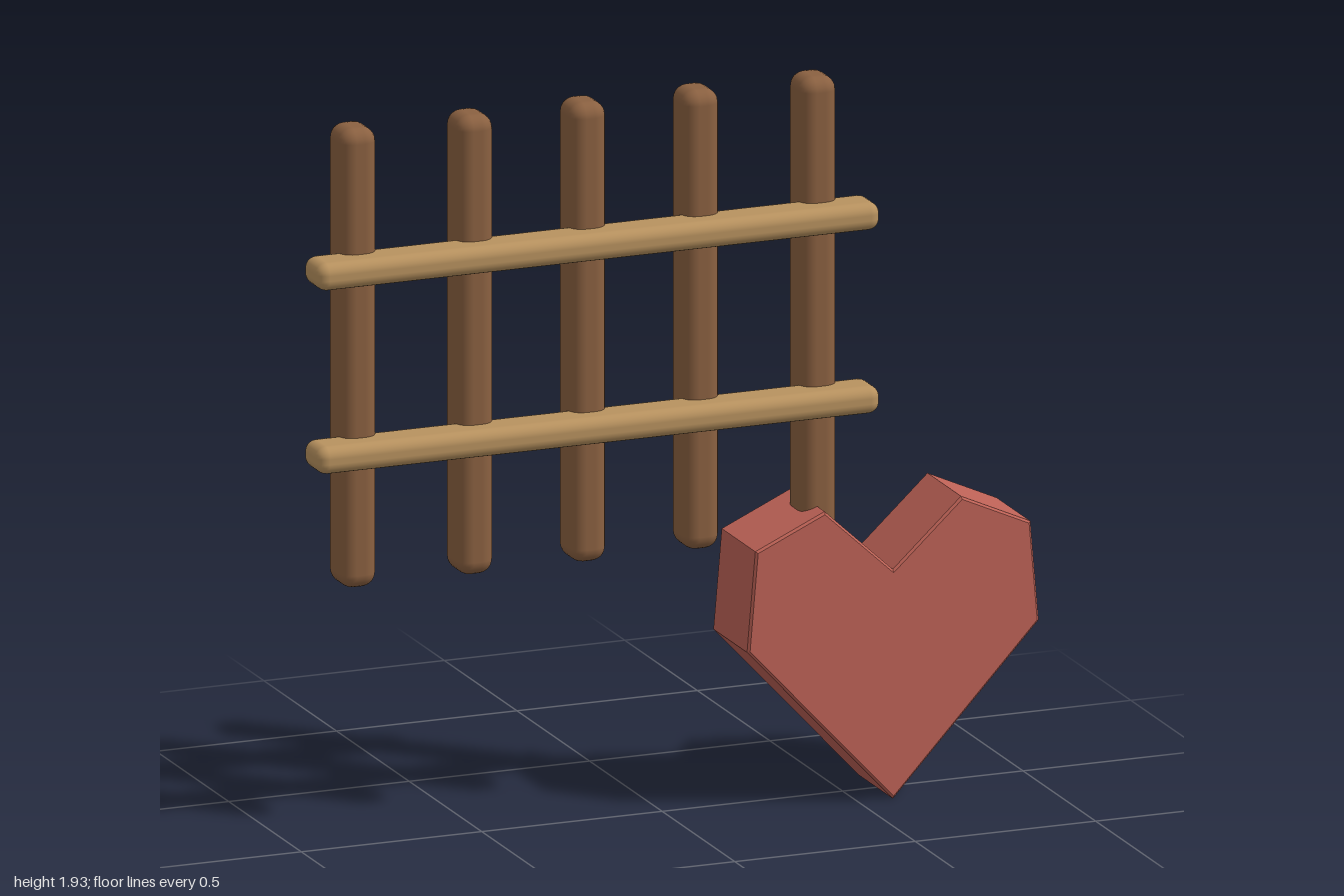
import * as THREE from 'three';
import { RoundedBoxGeometry } from 'three/addons/geometries/RoundedBoxGeometry.js';

export function createModel() {
  const model = new THREE.Group();
  model.name = 'fenceWithHeart';

  const material = (name, color) => {
    const m = new THREE.MeshStandardMaterial({ color });
    m.name = name;
    return m;
  };
  const darkWood = material('darkWood', 0x8b6141);
  const lightWood = material('lightWood', 0xb8925f);
  const red = material('heartRed', 0xbd6256);

  const add = (name, geometry, mat, x, y, z) => {
    const mesh = new THREE.Mesh(geometry, mat);
    mesh.name = name;
    mesh.position.set(x, y, z);
    model.add(mesh);
  };

  // Upright pickets with rounded ends
  const picket = new RoundedBoxGeometry(0.1, 1.23, 0.122, 3, 0.038);
  [-0.858, -0.534, -0.221, 0.092, 0.417].forEach((x, i) =>
    add(`picket${i + 1}`, picket, darkWood, x, 1.317, 0));

  // Two horizontal rails across the front
  const rail = new RoundedBoxGeometry(1.56, 0.074, 0.12, 3, 0.03);
  add('lowerRail', rail, lightWood, -0.22, 1.072, 0.064);
  add('upperRail', rail, lightWood, -0.22, 1.563, 0.064);

  // Faceted heart with a fine bevel, at the foot of the last picket
  const outline = [
    [0, 0], [0.404, 0.435], [0.381, 0.702], [0.189, 0.789],
    [0, 0.614], [-0.189, 0.789], [-0.381, 0.702], [-0.404, 0.435],
  ].map(([x, y]) => new THREE.Vector2(x, y));
  const bevel = 0.006;
  const heart = new THREE.ExtrudeGeometry(new THREE.Shape(outline), {
    depth: 0.243 - 2 * bevel,
    bevelEnabled: true,
    bevelThickness: bevel,
    bevelSize: bevel,
    bevelOffset: -bevel,
    bevelSegments: 1,
  });
  add('heart', heart, red, 0.594, 0, -0.125 + bevel);

  return model;
}
